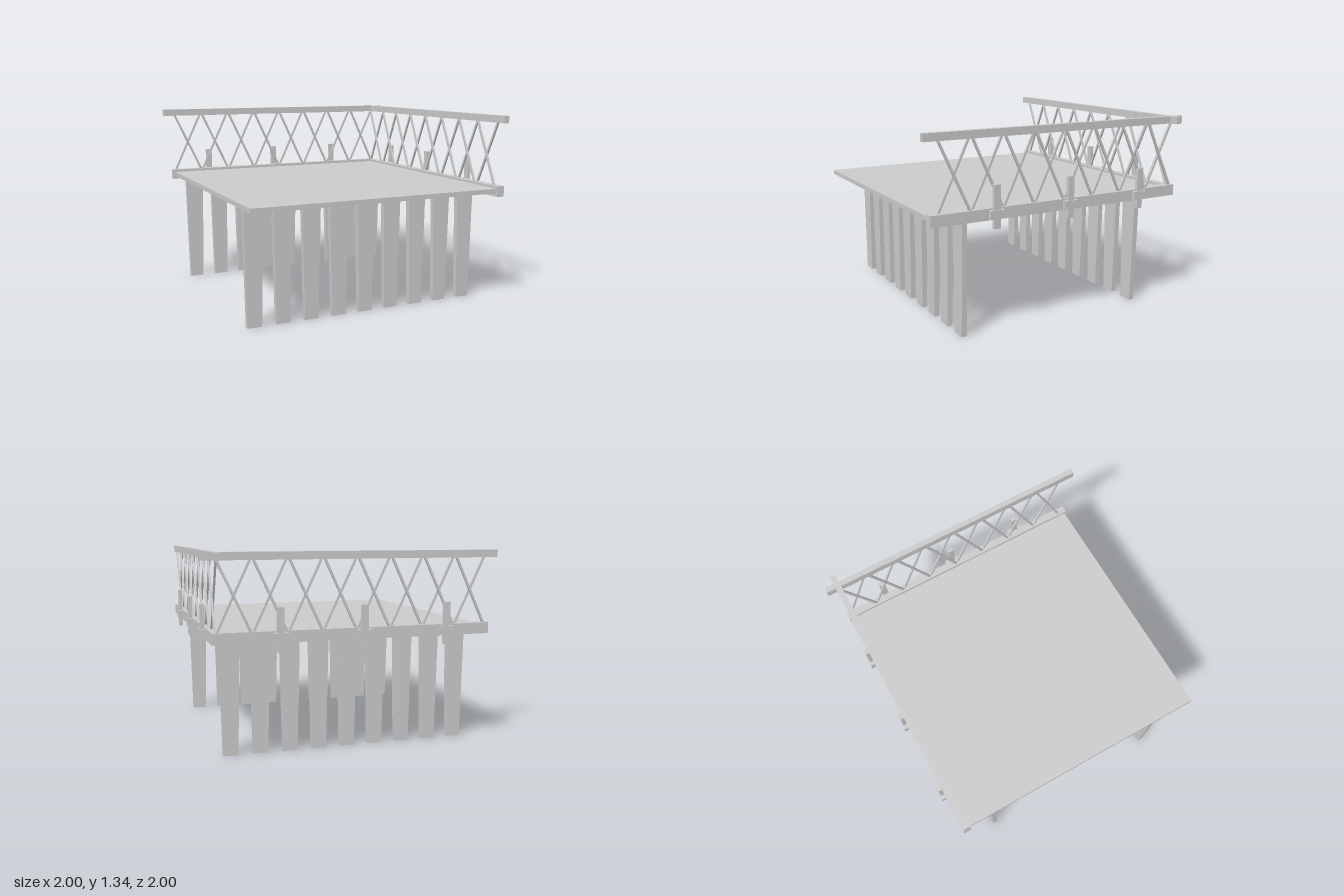
import * as THREE from 'three';

const material = new THREE.MeshStandardMaterial({ color: 0xcccccc, flatShading: true });

// Box given by its min and max on each axis
function box(parent, name, x0, x1, y0, y1, z0, z1) {
  const mesh = new THREE.Mesh(new THREE.BoxGeometry(x1 - x0, y1 - y0, z1 - z0), material);
  mesh.position.set((x0 + x1) / 2, (y0 + y1) / 2, (z0 + z1) / 2);
  mesh.name = name;
  parent.add(mesh);
  return mesh;
}

// One railing along x, centred on z = 0, with its outer side towards -z
function createRailing(name, beamStart, beamEnd, firstCross, postPositions) {
  const railing = new THREE.Group();
  railing.name = name;
  box(railing, 'baseBeam', beamStart, beamEnd, 0.775, 0.85, -0.028, 0.028);
  box(railing, 'topRail', -1, 1, 1.29, 1.34, -0.02, 0.02);

  // Crossed lattice bars, the two directions lying in neighbouring planes
  const bottom = 0.845, top = 1.295, run = 0.213;
  const length = Math.hypot(run, top - bottom);
  const barGeometry = new THREE.BoxGeometry(0.015, length, 0.013);
  for (let i = 0; i < 8; i++) {
    for (const side of [-1, 1]) {
      const bar = new THREE.Mesh(barGeometry, material);
      bar.name = 'latticeBar';
      bar.position.set(firstCross + i * 0.23, (top + bottom) / 2, side * 0.0065);
      bar.rotation.z = side * Math.atan2(run, top - bottom);
      railing.add(bar);
    }
  }

  // Short posts held to the outside of the beam by U-shaped brackets
  for (const x of postPositions) {
    box(railing, 'post', x - 0.022, x + 0.022, 0.72, 1.0, -0.05, -0.024);
    box(railing, 'bracketPlate', x - 0.051, x + 0.051, 0.785, 0.84, -0.058, -0.048);
    for (const s of [-1, 1]) {
      const c = x + s * 0.0365;
      box(railing, 'bracketSide', c - 0.0145, c + 0.0145, 0.785, 0.84, -0.05, -0.026);
    }
  }
  return railing;
}

// Leg profile tapering towards the ground
function createLegGeometry() {
  const shape = new THREE.Shape([
    new THREE.Vector2(-0.05, 0),
    new THREE.Vector2(0.05, 0),
    new THREE.Vector2(0.067, 0.8),
    new THREE.Vector2(-0.067, 0.8),
  ]);
  return new THREE.ExtrudeGeometry(shape, { depth: 0.037, bevelEnabled: false }).translate(0, 0, -0.0185);
}

export function createModel() {
  const model = new THREE.Group();
  model.name = 'pier';

  box(model, 'deck', -0.925, 0.9, 0.8, 0.832, -0.9, 0.953);

  // Two rows of nine legs
  const legGeometry = createLegGeometry();
  for (const z of [0.697, -0.683]) {
    for (let i = 0; i < 9; i++) {
      const leg = new THREE.Mesh(legGeometry, material);
      leg.name = 'leg';
      leg.position.set(-0.823 + i * 0.2025, 0, z);
      model.add(leg);
    }
  }

  // Back railing
  const back = createRailing('backRailing', -0.94, 0.945, -0.805, [-0.62, -0.04, 0.52]);
  back.position.z = -0.913;
  model.add(back);

  // Side railing, turned so its outer side faces +x
  const side = createRailing('sideRailing', -0.945, 0.965, -0.815, [-0.615, -0.035, 0.52]);
  side.rotation.y = -Math.PI / 2;
  side.position.x = 0.918;
  model.add(side);

  return model;
}
